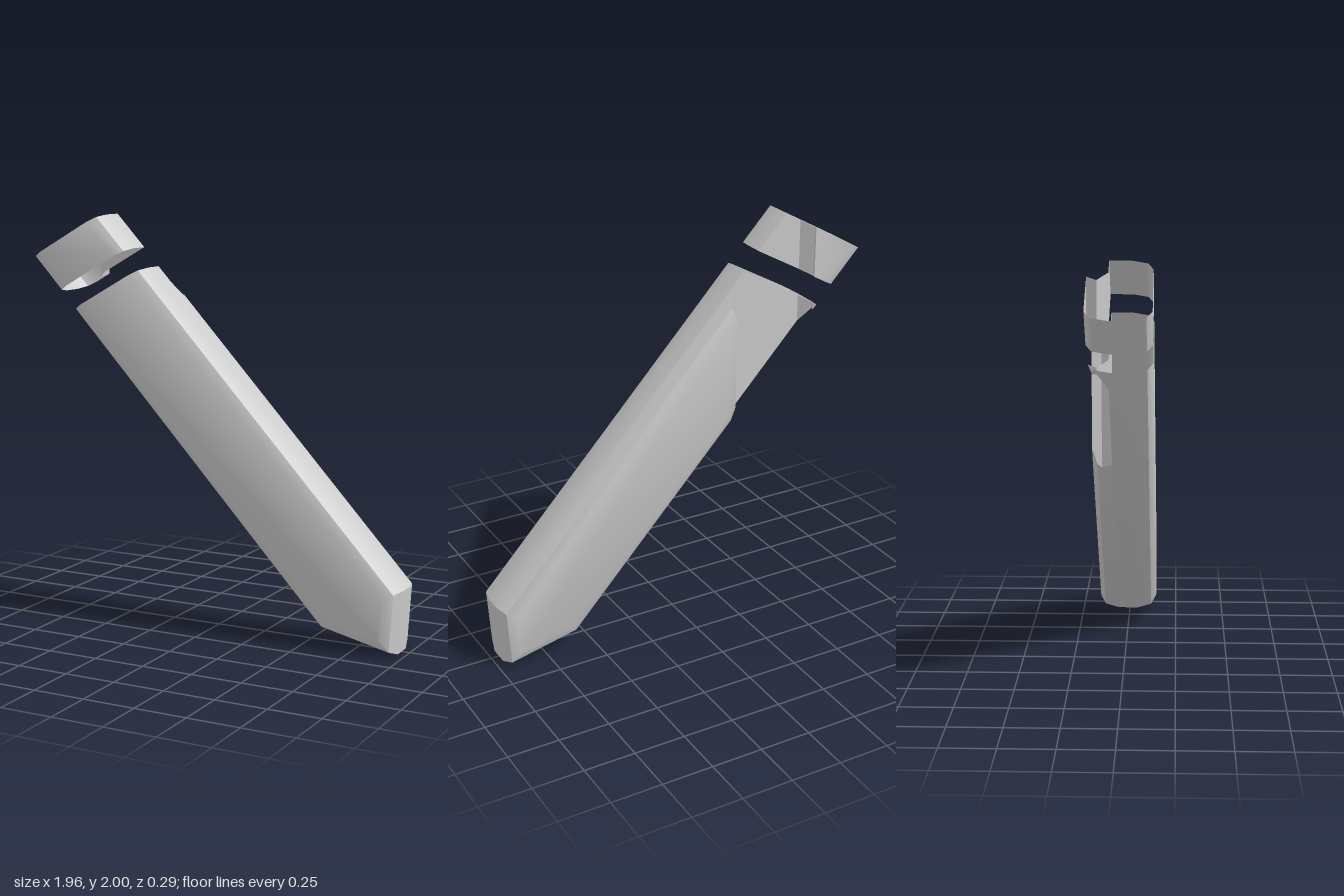
import * as THREE from 'three';
import { toCreasedNormals } from 'three/addons/utils/BufferGeometryUtils.js';

const V = (x, y, z) => new THREE.Vector3(x, y, z);
const material = new THREE.MeshStandardMaterial({ color: 0xcccccc, side: THREE.DoubleSide });

// Rounded edge profile: [inset from the outline, depth]
const levels = [[0.065, -0.145], [0.02, -0.12], [0, -0.05], [0, 0.05], [0.02, 0.12], [0.065, 0.145]];

// Plan (x, z) of the upright strap channel cut across the back
const channelPlan = [[-0.67, -0.05], [-0.29, -0.05], [-0.25, -0.1], [-0.275, -0.16], [-0.69, -0.16], [-0.72, -0.1]];

// Moves the closed edges of an outline inwards; open edges stay in place
function inset(outline, open, d) {
  const n = outline.length;
  const lines = outline.map(([x, y], i) => {
    const [x2, y2] = outline[(i + 1) % n];
    const len = Math.hypot(x2 - x, y2 - y);
    const a = -(y2 - y) / len, b = (x2 - x) / len;
    return [a, b, a * x + b * y + (open.includes(i) ? 0 : d)];
  });
  return lines.map(([a2, b2, c2], i) => {
    const [a1, b1, c1] = lines[(i + n - 1) % n];
    const det = a1 * b2 - a2 * b1;
    return [(c1 * b2 - c2 * b1) / det, (a1 * c2 - a2 * c1) / det];
  });
}

const planeOf = (p) => new THREE.Plane().setFromCoplanarPoints(p[0], p[1], p[2]);

// Splits a convex polygon into its parts outside and inside a plane
function split(poly, plane) {
  const outside = [], inside = [];
  poly.forEach((p, i) => {
    const q = poly[(i + 1) % poly.length];
    const dp = plane.distanceToPoint(p), dq = plane.distanceToPoint(q);
    if (dp >= -1e-6) outside.push(p);
    if (dp <= 1e-6) inside.push(p);
    if (Math.abs(dp) > 1e-6 && Math.abs(dq) > 1e-6 && dp * dq < 0) {
      const m = p.clone().lerp(q, dp / (dp - dq));
      outside.push(m);
      inside.push(m);
    }
  });
  return [outside, inside];
}

// Keeps only what lies outside a convex solid
function subtract(poly, planes) {
  const kept = [];
  let rest = poly;
  for (const plane of planes) {
    const [outside, inside] = split(rest, plane);
    if (outside.length > 2) kept.push(outside);
    rest = inside;
    if (rest.length < 3) break;
  }
  return kept;
}

function meshOf(polys, name) {
  const pos = [];
  for (const p of polys) {
    for (let i = 1; i < p.length - 1; i++) {
      for (const v of [p[0], p[i], p[i + 1]]) pos.push(v.x, v.y, v.z);
    }
  }
  const geo = new THREE.BufferGeometry();
  geo.setAttribute('position', new THREE.Float32BufferAttribute(pos, 3));
  const mesh = new THREE.Mesh(toCreasedNormals(geo, 0.7), material);
  mesh.name = name;
  return mesh;
}

// Walls of the channel as tall quads
const channelWalls = channelPlan.map(([x, z], i) => {
  const [x2, z2] = channelPlan[(i + 1) % channelPlan.length];
  return [V(x, -1, z), V(x2, -1, z2), V(x2, 3, z2), V(x, 3, z)];
});
const channelPlanes = channelWalls.map(planeOf);

// Hollow bevelled shell with open ends and the channel cut from its back
function sheathPart(outline, open, name) {
  const loops = levels.map(([d, z]) => inset(outline, open, d).map(([x, y]) => V(x, y, z)));
  const faces = [loops.at(-1), [...loops[0]].reverse()];
  const planes = faces.map(planeOf);
  for (let k = 0; k < loops.length - 1; k++) {
    outline.forEach((_, i) => {
      const j = (i + 1) % outline.length;
      const quad = [loops[k][i], loops[k][j], loops[k + 1][j], loops[k + 1][i]];
      planes.push(planeOf(quad));
      if (!open.includes(i)) faces.push(quad);
    });
  }
  const shell = faces.flatMap((f) => subtract(f, channelPlanes));
  const recess = channelWalls
    .map((w) => planes.reduce((p, plane) => (p.length > 2 ? split(p, plane)[1] : p), [...w].reverse()))
    .filter((p) => p.length > 2);

  const group = new THREE.Group();
  group.name = name;
  group.add(meshOf(shell, name + 'Shell'), meshOf(recess, name + 'StrapChannel'));
  return group;
}

export function createModel() {
  const model = new THREE.Group();
  model.name = 'bladeSheath';
  // Long body with a pointed tip, open at the mouth
  model.add(sheathPart(
    [[-0.75, 1.53], [0.59, 0.09], [0.96, 0.005], [0.98, 0.31], [-0.36, 1.75]], [4], 'sheathBody'));
  // Separate collar band, open at both ends
  model.add(sheathPart(
    [[-0.98, 1.78], [-0.83, 1.62], [-0.44, 1.84], [-0.59, 2.0]], [1, 3], 'collarBand'));
  return model;
}
